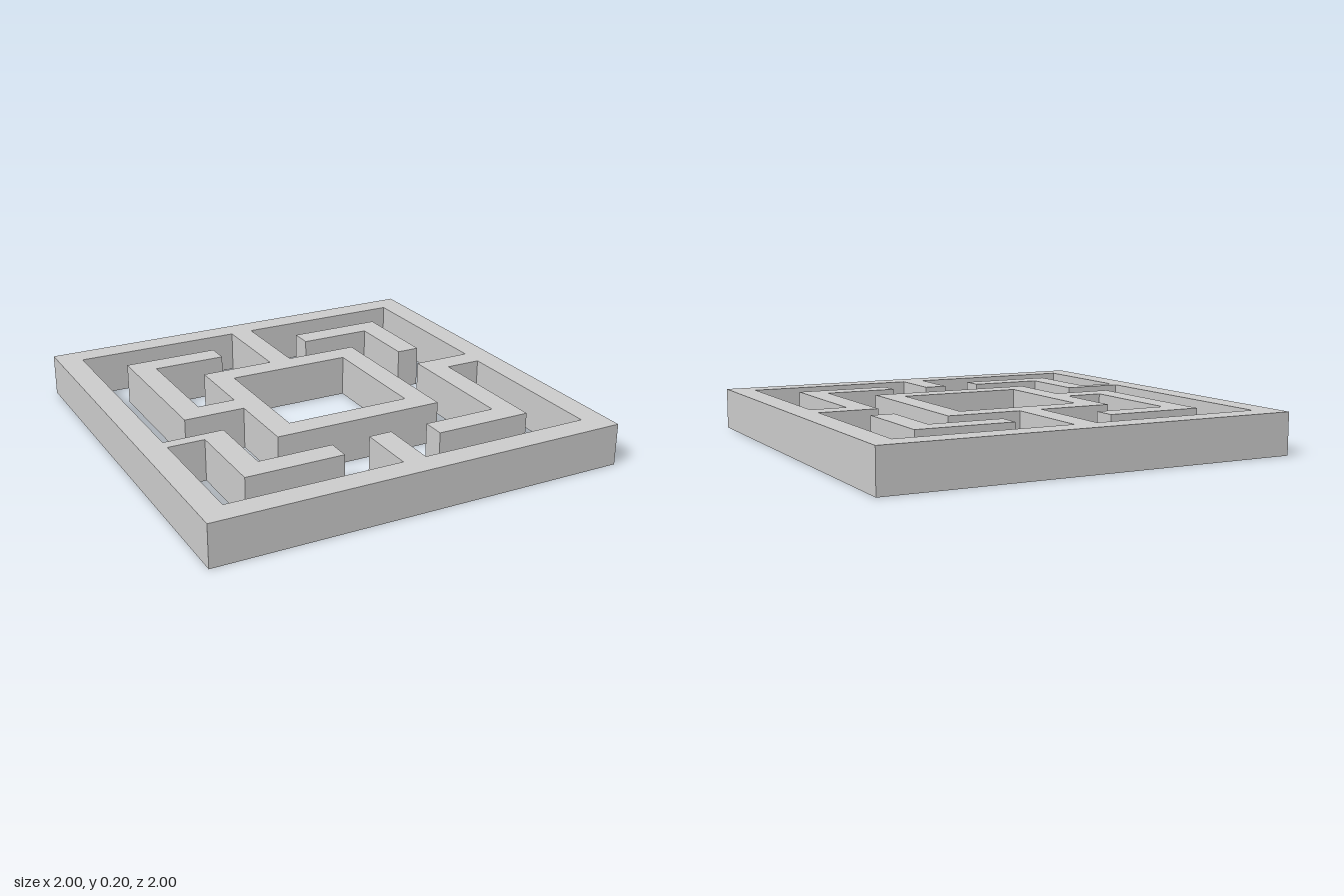
import * as THREE from 'three';

const HEIGHT = 0.2;

// Wall edges measured from the centre, inner to outer
const spoke = 0.056, gap = 0.24, core = 0.415, ringIn = 0.596, ringOut = 0.709, rim = 0.884;

const toPoints = (list) => list.map(([x, z]) => new THREE.Vector2(x, z));
const square = (r) => toPoints([[-r, -r], [r, -r], [r, r], [-r, r]]);

// Extrudes a plan drawn in x, z so that it stands on the ground
function wall(name, outline, holes = []) {
  const shape = new THREE.Shape(outline);
  shape.holes = holes.map((h) => new THREE.Path(h));
  const geometry = new THREE.ExtrudeGeometry(shape, { depth: HEIGHT, bevelEnabled: false });
  geometry.rotateX(Math.PI / 2).translate(0, HEIGHT, 0);
  const mesh = new THREE.Mesh(geometry, new THREE.MeshStandardMaterial({ color: 0xcccccc, flatShading: true }));
  mesh.name = name;
  return mesh;
}

export function createModel() {
  const group = new THREE.Group();
  group.name = 'maze';

  // Open corridor running round the maze, one long winding outline
  const corridor = toPoints([
    // back right corner and right spoke with its hooked wall
    [spoke, -rim], [rim, -rim], [rim, -spoke], [ringIn, -spoke], [ringIn, ringIn], [gap, ringIn],
    [gap, ringOut], [ringOut, ringOut], [ringOut, spoke], [rim, spoke],
    // front right corner and front stub
    [rim, rim], [spoke, rim], [spoke, ringIn], [-spoke, ringIn], [-spoke, rim],
    // front left corner and its hooked wall
    [-rim, rim], [-rim, 0.291], [-ringOut, 0.291], [-ringOut, ringOut], [-gap, ringOut],
    [-gap, ringIn], [-ringIn, ringIn], [-ringIn, 0.234], [-rim, 0.234],
    // back left corner, back spoke and the hooked wall joined to the core
    [-rim, -rim], [-spoke, -rim], [-spoke, -core], [-core, -core], [-core, -spoke],
    [-ringIn, -spoke], [-ringIn, -ringIn], [-gap, -ringIn], [-gap, -ringOut],
    [-ringOut, -ringOut], [-ringOut, spoke], [-core, spoke],
    // outside of the core
    [-core, core], [core, core], [core, -core], [spoke, -core],
  ]);
  group.add(wall('mazeWalls', square(1), [corridor, square(0.303)]));

  // Free-standing corner wall at the back right
  group.add(wall('cornerWall', toPoints([
    [gap, -ringOut], [ringOut, -ringOut], [ringOut, -gap],
    [ringIn, -gap], [ringIn, -ringIn], [gap, -ringIn],
  ])));

  return group;
}
